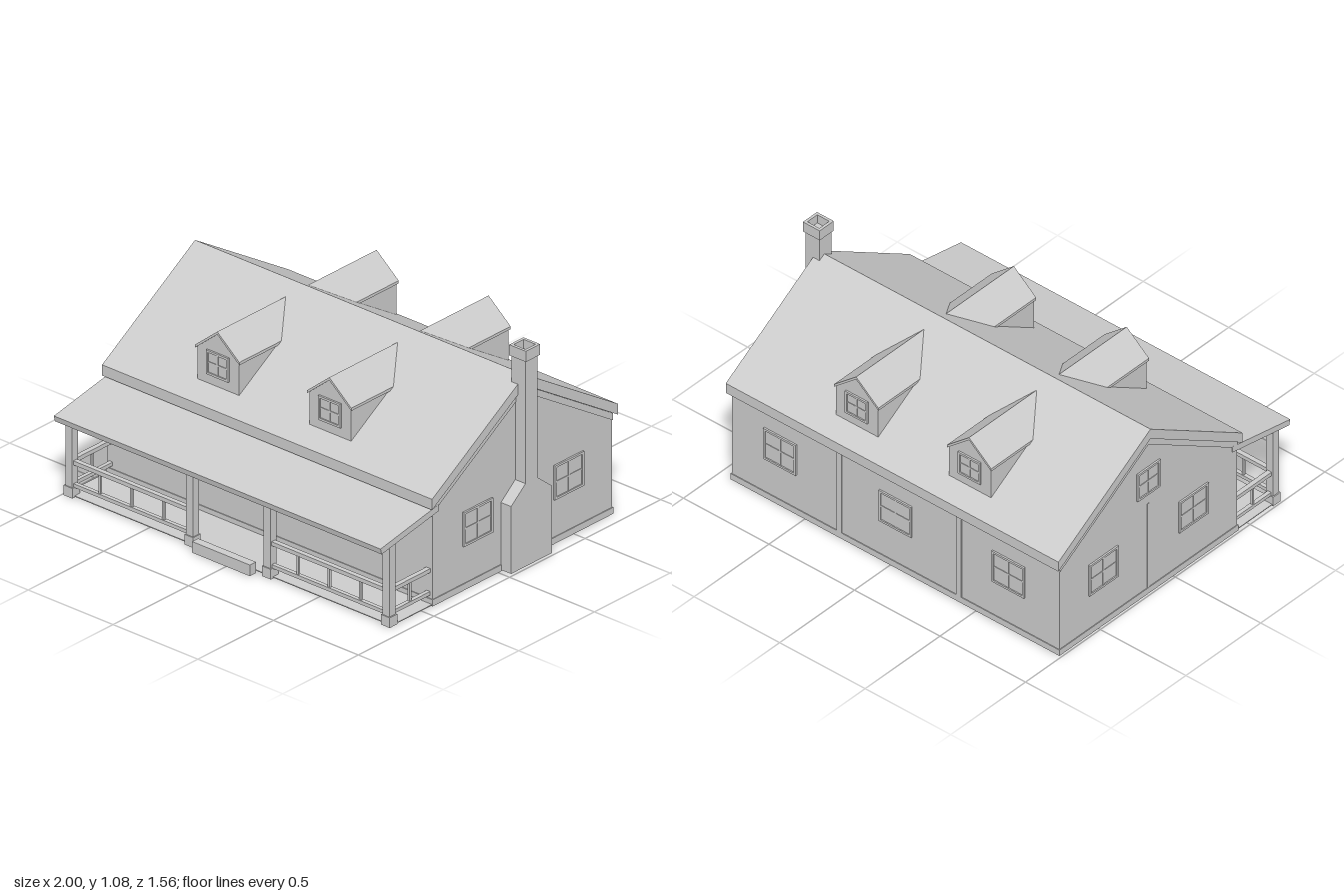
import * as THREE from 'three';

const material = new THREE.MeshStandardMaterial({ color: 0xcccccc, flatShading: true, side: THREE.DoubleSide });
const RIDGE_Z = -0.165, SLOPE = 0.62;
const X0 = -0.985, X1 = 0.93, FRONT = 0.43, BACK = -0.757;

function add(parent, name, geometry) {
  const mesh = new THREE.Mesh(geometry, material);
  mesh.name = name;
  parent.add(mesh);
  return mesh;
}

// Box given by its limits on each axis
function box(parent, name, x0, x1, y0, y1, z0, z1) {
  const g = new THREE.BoxGeometry(x1 - x0, y1 - y0, z1 - z0);
  g.translate((x0 + x1) / 2, (y0 + y1) / 2, (z0 + z1) / 2);
  return add(parent, name, g);
}

const shapeOf = (points) => new THREE.Shape(points.map(([a, b]) => new THREE.Vector2(a, b)));

// Profile of [z, y] points drawn out along x
function alongX(parent, name, points, x0, x1) {
  const g = new THREE.ExtrudeGeometry(shapeOf(points.map(([z, y]) => [-z, y])), { depth: x1 - x0, bevelEnabled: false });
  g.rotateY(Math.PI / 2).translate(x0, 0, 0);
  return add(parent, name, g);
}

// Profile of [x, y] points drawn out along z
function alongZ(parent, name, points, z0, z1) {
  const g = new THREE.ExtrudeGeometry(shapeOf(points), { depth: z1 - z0, bevelEnabled: false });
  g.translate(0, 0, z0);
  return add(parent, name, g);
}

// Four-pane window facing +z, centred on its origin
function windowUnit(parent, w, h, x, y, z, turn) {
  const group = new THREE.Group();
  group.name = 'window';
  const a = w / 2, b = h / 2, t = 0.011, d = 0.009;
  box(group, 'glass', -a, a, -b, b, -0.004, 0.003);
  for (const s of [-1, 1]) {
    const cx = s * (a - t / 2), cy = s * (b - t / 2);
    box(group, 'windowJamb', cx - t / 2, cx + t / 2, -b, b, 0, d);
    box(group, 'windowRail', -a, a, cy - t / 2, cy + t / 2, 0, d);
  }
  box(group, 'mullion', -0.004, 0.004, -b, b, 0, 0.006);
  box(group, 'crossbar', -a, a, -0.004, 0.004, 0, 0.006);
  group.position.set(x, y, z);
  group.rotation.y = turn;
  parent.add(group);
}

// Gabled dormer; side is 1 for the front slope and -1 for the back
function dormer(parent, x, side) {
  const group = new THREE.Group();
  group.name = 'dormer';
  const w = 0.123, r = 0.13;
  alongZ(group, 'dormerWalls', [[-w, 0.56], [w, 0.56], [w, 0.76], [0, 0.862], [-w, 0.76]], 0.05, 0.52);
  alongZ(group, 'dormerRoof', [[-r, 0.767], [0, 0.875], [r, 0.767], [r, 0.753], [0, 0.861], [-r, 0.753]], 0.05, 0.527);
  windowUnit(group, 0.13, 0.12, 0, 0.705, 0.52, 0);
  group.position.set(x, 0, RIDGE_Z);
  if (side < 0) group.rotation.y = Math.PI;
  parent.add(group);
}

function buildHouse(parent) {
  const house = new THREE.Group();
  house.name = 'house';
  parent.add(house);
  const under = (z) => 0.866 - SLOPE * Math.abs(z - RIDGE_Z);
  alongX(house, 'walls', [[FRONT, 0.012], [FRONT, under(FRONT)], [RIDGE_Z, 0.866], [BACK, under(BACK)], [BACK, 0.012]], X0, X1);

  // Main roof, cut plumb at the eaves
  const e = 0.615, drop = SLOPE * e;
  alongX(house, 'roof', [
    [RIDGE_Z + e, 0.921 - drop], [RIDGE_Z, 0.921], [RIDGE_Z - e, 0.921 - drop],
    [RIDGE_Z - e, 0.868 - drop], [RIDGE_Z, 0.868], [RIDGE_Z + e, 0.868 - drop]], -1, 0.945);

  // Sills around the foot and across the middle
  const p = 0.004;
  box(house, 'frontSill', X0 - p, X1 + p, 0, 0.032, FRONT - 0.03, FRONT + p);
  box(house, 'backSill', X0 - p, X1 + p, 0, 0.032, BACK - p, BACK + 0.03);
  box(house, 'leftSill', X1 - 0.01, X1 + p, 0, 0.032, BACK, FRONT);
  box(house, 'rightSill', X0 - p, X0 + 0.01, 0, 0.032, BACK, FRONT);
  box(house, 'middleBeam', X0, X1, 0, 0.02, RIDGE_Z - 0.015, RIDGE_Z + 0.015);

  // Upright boards on the back wall and the plain gable end
  for (const x of [0.3, -0.4]) box(house, 'wallBoard', x - 0.015, x + 0.015, 0.03, 0.49, BACK - p, BACK + 0.01);
  box(house, 'gableBoard', X0 - 0.003, X0 + 0.01, 0.03, 0.5, RIDGE_Z - 0.006, RIDGE_Z + 0.006);

  // Sloping trim below the roof at both gable ends
  for (const [a, b] of [[X0 - p, X0 + 0.01], [X1 - 0.01, X1 + p]]) {
    alongX(house, 'rakeTrim', [
      [FRONT, under(FRONT)], [RIDGE_Z, 0.866], [BACK, under(BACK)],
      [BACK, under(BACK) - 0.035], [RIDGE_Z, 0.831], [FRONT, under(FRONT) - 0.035]], a, b);
  }

  for (const x of [0.645, -0.03, -0.69]) windowUnit(house, 0.19, 0.17, x, 0.302, BACK, Math.PI);
  for (const z of [0.135, -0.467]) {
    windowUnit(house, 0.193, 0.17, X1, 0.302, z, Math.PI / 2);
    windowUnit(house, 0.193, 0.17, X0, 0.302, z, -Math.PI / 2);
  }
  windowUnit(house, 0.15, 0.15, X0, 0.63, RIDGE_Z, -Math.PI / 2);

  for (const x of [-0.4, 0.26]) for (const side of [1, -1]) dormer(house, x, side);
}

function buildChimney(parent) {
  const chimney = new THREE.Group();
  chimney.name = 'chimney';
  parent.add(chimney);
  const c = -0.157;
  alongX(chimney, 'chimneyBase', [
    [c + 0.135, 0.005], [c + 0.135, 0.338], [c + 0.04, 0.415],
    [c - 0.04, 0.415], [c - 0.135, 0.338], [c - 0.135, 0.005]], 0.915, 0.99);
  box(chimney, 'chimneyStack', 0.907, 0.99, 0.4, 1.03, c - 0.04, c + 0.04);
  // Hollow cap
  const rect = (hx, hz) => [[-hx, -hz], [hx, -hz], [hx, hz], [-hx, hz]];
  const ring = shapeOf(rect(0.049, 0.047));
  ring.holes.push(shapeOf(rect(0.035, 0.033)));
  const g = new THREE.ExtrudeGeometry(ring, { depth: 0.053, bevelEnabled: false });
  g.rotateX(-Math.PI / 2).translate(0.949, 1.022, c);
  add(chimney, 'chimneyCap', g);
}

function buildPorch(parent) {
  const porch = new THREE.Group();
  porch.name = 'porch';
  parent.add(porch);
  alongX(porch, 'porchRoof', [[0.78, 0.417], [0.395, 0.49], [0.395, 0.458], [0.773, 0.388]], -0.99, 0.935);
  box(porch, 'porchFloor', X0, X1, 0.004, 0.008, FRONT, 0.7);
  box(porch, 'step', -0.2, 0.14, 0, 0.055, 0.712, 0.752);

  const posts = [-0.965, -0.253, 0.204, 0.905], z = 0.69;
  for (const x of posts) {
    box(porch, 'post', x - 0.02, x + 0.02, 0, 0.405, z - 0.02, z + 0.02);
    box(porch, 'postFoot', x - 0.026, x + 0.026, 0, 0.05, z - 0.025, z + 0.025);
  }
  box(porch, 'postBeam', -0.985, 0.925, 0.385, 0.402, z - 0.018, z + 0.018);

  // Front railings with three balusters each
  for (const [a, b] of [[posts[0], posts[1]], [posts[2], posts[3]]]) {
    box(porch, 'topRail', a, b, 0.16, 0.18, z - 0.012, z + 0.012);
    box(porch, 'bottomRail', a, b, 0.048, 0.066, z - 0.01, z + 0.01);
    for (const i of [1, 2, 3]) {
      const x = a + 0.02 + (b - a - 0.04) * (i * 0.28 - 0.06);
      box(porch, 'baluster', x - 0.006, x + 0.006, 0.06, 0.165, z - 0.006, z + 0.006);
    }
  }
  // Side railings
  for (const x of [posts[0], posts[3]]) {
    box(porch, 'sideTopRail', x - 0.012, x + 0.012, 0.16, 0.18, FRONT, z);
    box(porch, 'sideBottomRail', x - 0.01, x + 0.01, 0.048, 0.066, FRONT, z);
    box(porch, 'sideBaluster', x - 0.006, x + 0.006, 0.06, 0.165, 0.549, 0.561);
  }
}

export function createModel() {
  const model = new THREE.Group();
  model.name = 'cottage';
  buildHouse(model);
  buildChimney(model);
  buildPorch(model);
  return model;
}
